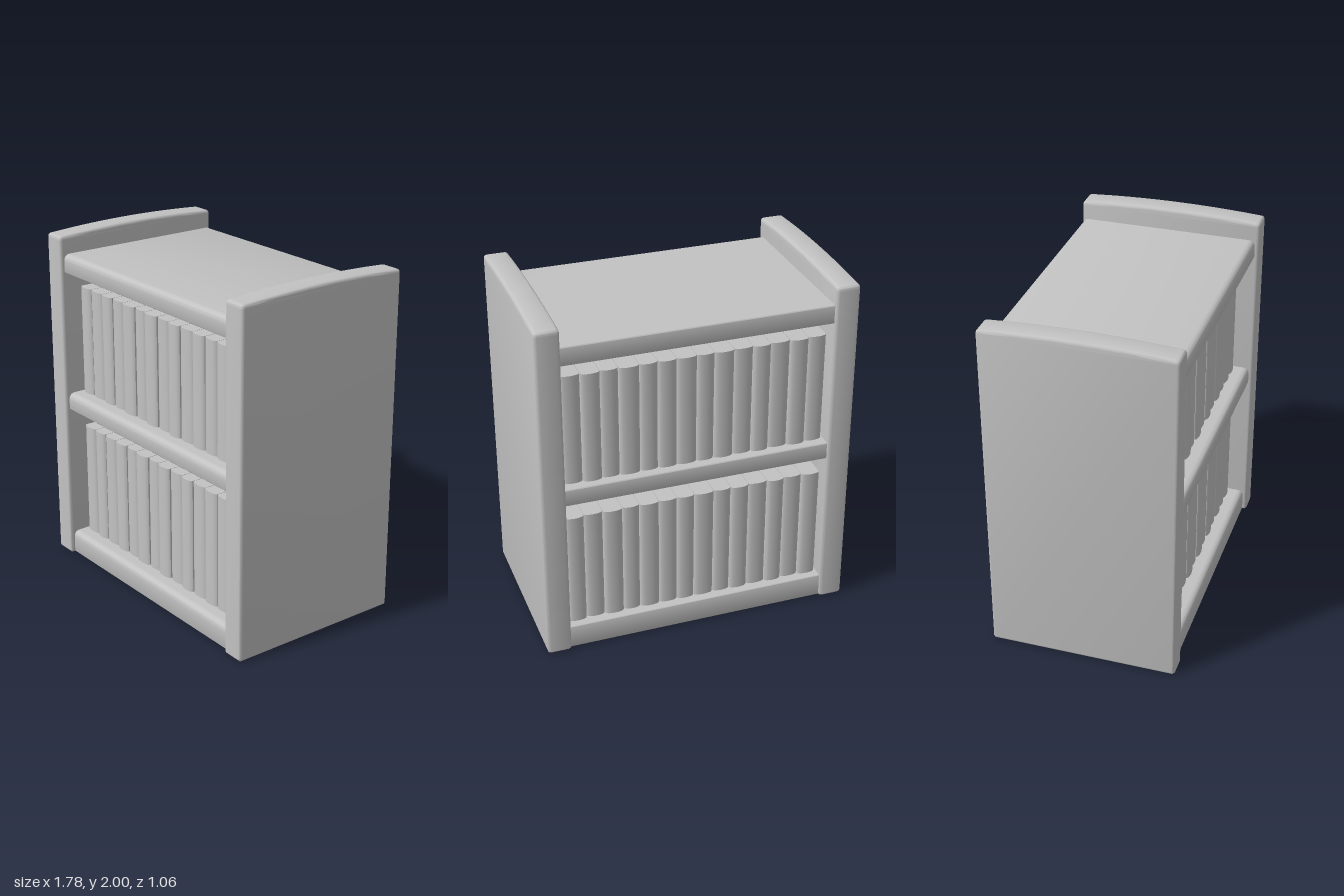
import * as THREE from 'three';
import { toCreasedNormals } from 'three/addons/utils/BufferGeometryUtils.js';

const grey = new THREE.MeshStandardMaterial({ color: 0xc2c2c2 });
grey.name = 'plain grey';

function addMesh(parent, name, geometry) {
  const mesh = new THREE.Mesh(toCreasedNormals(geometry, 0.6), grey);
  mesh.name = name;
  parent.add(mesh);
  return mesh;
}

// Extrude a side profile (x = -z, y = height) along x, centred on x = 0
function sideways(shape, width, bevel, segments) {
  const g = new THREE.ExtrudeGeometry(shape, {
    depth: width - 2 * bevel, curveSegments: 10,
    bevelEnabled: bevel > 0, bevelThickness: bevel, bevelSize: bevel,
    bevelOffset: -bevel, bevelSegments: segments,
  });
  g.translate(0, 0, bevel - width / 2);
  return g.rotateY(Math.PI / 2);
}

// Side panel with a gently arched top and softened edges
function panelGeometry() {
  const d = 0.532, r = 0.025, top = 1.982;
  const s = new THREE.Shape();
  s.moveTo(-d + 0.01, 0.003);
  s.lineTo(d - 0.01, 0.003);
  s.lineTo(d, 0.015);
  s.lineTo(d, top - r);
  s.quadraticCurveTo(d, top, d - r, top);
  s.quadraticCurveTo(0, 2.018, -d + r, top);
  s.quadraticCurveTo(-d, top, -d, top - r);
  s.lineTo(-d, 0.015);
  s.closePath();
  return sideways(s, 0.137, 0.018, 3);
}

// Shelf board with a rounded front edge
function shelfGeometry(y0, y1) {
  const front = -0.508, back = 0.515, r = 0.04, e = 0.012;
  const s = new THREE.Shape();
  s.moveTo(front + e, y0);
  s.lineTo(back - e, y0);
  s.quadraticCurveTo(back, y0, back, y0 + e);
  s.lineTo(back, y1 - e);
  s.quadraticCurveTo(back, y1, back - e, y1);
  s.lineTo(front + r, y1);
  s.quadraticCurveTo(front, y1, front, y1 - r);
  s.lineTo(front, y0 + e);
  s.quadraticCurveTo(front, y0, front + e, y0);
  return sideways(s, 1.53, 0, 1);
}

// Upright book with a rounded spine facing +z
function bookGeometry(width, height, depth) {
  const w = width / 2 - 0.0015, bulge = 0.022;
  const s = new THREE.Shape();
  s.moveTo(-w, 0);
  s.lineTo(-w, -depth + bulge);
  s.bezierCurveTo(-w * 0.85, -depth, w * 0.85, -depth, w, -depth + bulge);
  s.lineTo(w, 0);
  s.closePath();
  const g = new THREE.ExtrudeGeometry(s, { depth: height, bevelEnabled: false, curveSegments: 8 });
  return g.rotateX(-Math.PI / 2);
}

// A full row of books from wall to wall
function bookRow(name, y, height, depth, seed) {
  const row = new THREE.Group();
  row.name = name;
  const count = 14, step = 1.49 / count;
  const edge = i => -0.745 + i * step + (i % count ? 0.004 * Math.sin(i * 2.3 + seed) : 0);
  for (let i = 0; i < count; i++) {
    const a = edge(i), b = edge(i + 1);
    const d = depth + 0.005 * Math.sin(i * 2.9 + seed);
    addMesh(row, 'book', bookGeometry(b - a, height, d)).position.set((a + b) / 2, y, 0);
  }
  return row;
}

export function createModel() {
  const model = new THREE.Group();
  model.name = 'bookcase';

  // Side panels
  for (const side of [1, -1]) {
    addMesh(model, side > 0 ? 'leftPanel' : 'rightPanel', panelGeometry()).position.x = side * 0.8225;
  }

  // Boards
  const boards = [['bottomBoard', 0.006, 0.145], ['middleShelf', 0.935, 1.037], ['topBoard', 1.767, 1.876]];
  for (const [name, y0, y1] of boards) addMesh(model, name, shelfGeometry(y0, y1));

  // Two rows on each shelf, spines facing front and back
  const rows = [['lowerBooks', 0.14, 0.681], ['upperBooks', 1.032, 0.646]];
  rows.forEach(([name, y, height], k) => {
    const front = bookRow(name + 'Front', y, height, 0.425, k * 3);
    const back = bookRow(name + 'Back', y, height, 0.47, k * 3 + 1.5);
    back.rotation.y = Math.PI;
    model.add(front, back);

    // Spacers closing the slits beside the end books
    for (const side of [1, -1]) {
      const spacer = addMesh(model, 'endSpacer', new THREE.BoxGeometry(0.02, height - 0.02, 0.78));
      spacer.position.set(side * 0.75, y + height / 2 - 0.01, -0.02);
    }
  });

  return model;
}
